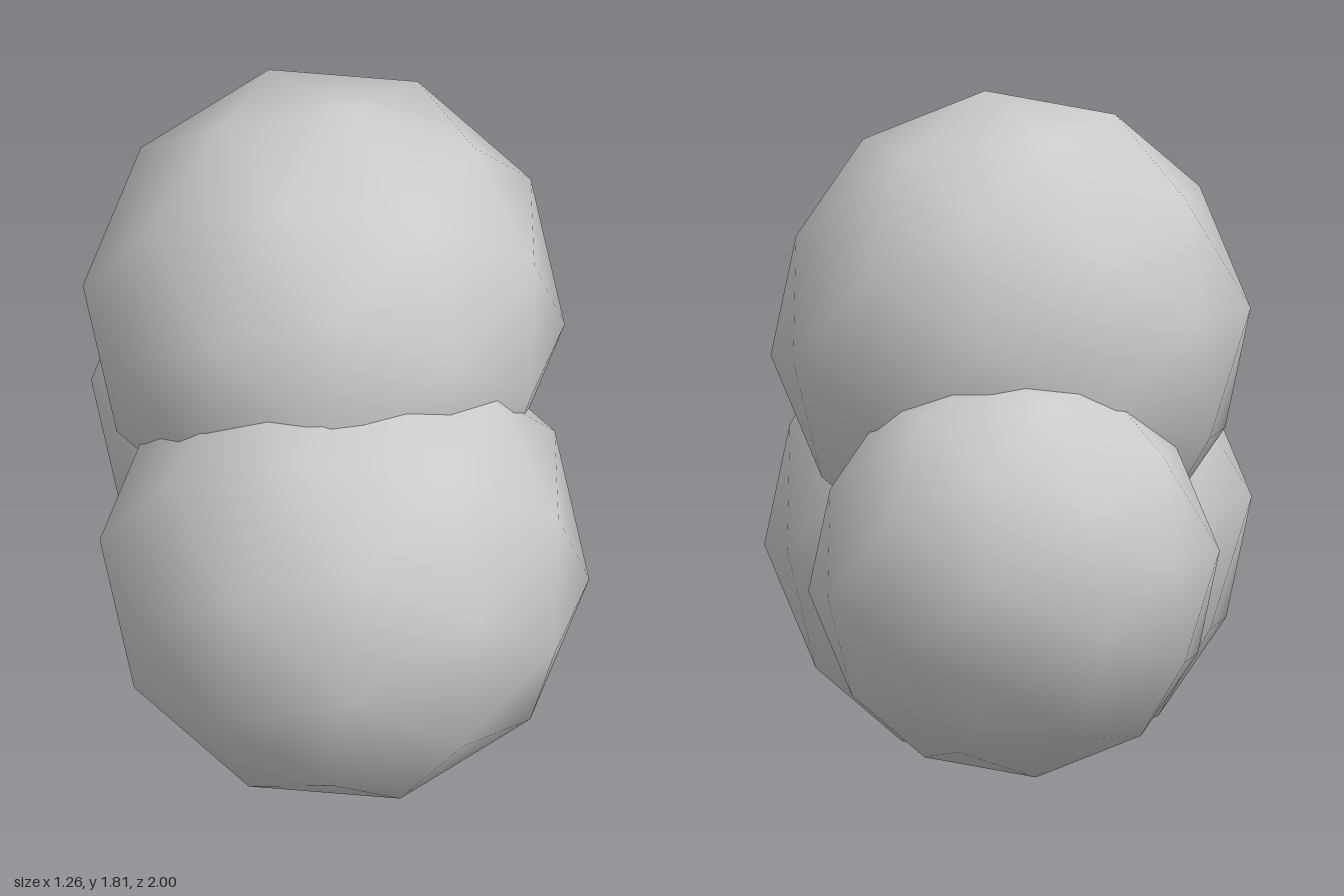
import * as THREE from 'three';

export function createModel() {
  const group = new THREE.Group();
  const material = new THREE.MeshStandardMaterial({ color: 0xcccccc });

  // One coarse, smooth-shaded ball, slightly tilted, shared by all three lobes
  const ball = new THREE.IcosahedronGeometry(1, 1);
  const deg = THREE.MathUtils.degToRad;
  ball.applyMatrix4(new THREE.Matrix4().makeRotationFromEuler(
    new THREE.Euler(deg(4), deg(-7), deg(-6))));

  // name, radius, height, depth
  const lobes = [
    ['topLobe', 0.63, 1.18, 0],
    ['frontLobe', 0.64, 0.63, 0.37],
    ['backLobe', 0.54, 0.62, -0.465],
  ];
  for (const [name, radius, y, z] of lobes) {
    const lobe = new THREE.Mesh(ball, material);
    lobe.name = name;
    lobe.scale.setScalar(radius);
    lobe.position.set(0, y, z);
    group.add(lobe);
  }
  return group;
}
